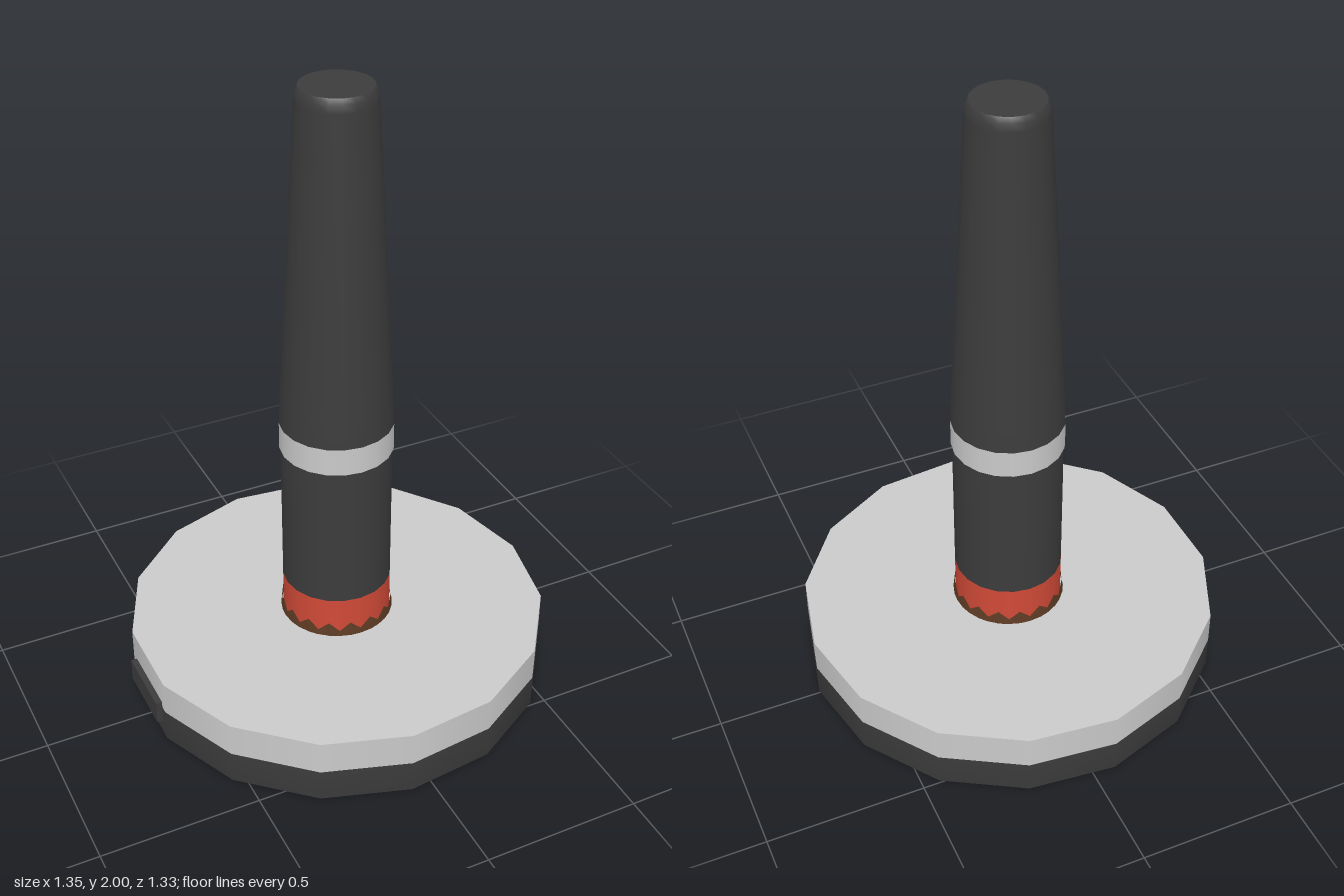
import * as THREE from 'three';

const material = (name, color, side = THREE.FrontSide) => {
  const m = new THREE.MeshStandardMaterial({ color, side });
  m.name = name;
  return m;
};

export function createModel() {
  const dark = material('dark rubber', 0x3c3c3c);
  const light = material('light grey', 0xcacaca);
  const red = material('red', 0xd04a37);
  const brown = material('brown', 0x5c3a24, THREE.DoubleSide);

  const group = new THREE.Group();
  const add = (name, geometry, mat, x = 0, y = 0, z = 0) => {
    const mesh = new THREE.Mesh(geometry, mat);
    mesh.name = name;
    mesh.position.set(x, y, z);
    group.add(mesh);
    return mesh;
  };
  // Smooth turned part from [radius, height] pairs, listed bottom to top
  const turned = (points, sides, start = 0) =>
    new THREE.LatheGeometry(points.map(([r, y]) => new THREE.Vector2(r, y)), sides, start);

  // Fifteen-sided base: soft dark underside and light top plate, one corner on +x
  const sides = 15, corner = Math.PI / 2, baseR = 0.67;
  add('baseUnderside', turned([[0, 0], [0.655, 0], [baseR, 0.008], [baseR, 0.115]], sides, corner), dark);
  add('basePlate', new THREE.CylinderGeometry(baseR, baseR, 0.11, sides, 1, false, corner), light, 0, 0.17);

  // Button on the flat side of the base
  add('baseButton', new THREE.BoxGeometry(0.03, 0.075, 0.225), dark, -0.66, 0.098);

  // Post: red collar, lower sleeve, light ring, tapered grip
  const n = 20;
  add('redCollar', turned([[0.173, 0.22], [0.173, 0.36]], n), red);
  add('lowerSleeve', turned([[0.173, 0.36], [0.173, 0.84]], n), dark);
  add('ring', turned([[0.177, 0.84], [0.177, 0.93]], n), light);
  add('grip', turned([[0.177, 0.93], [0.174, 1.0], [0.12, 1.96], [0.118, 1.985], [0.108, 2.0]], n), dark);
  const cap = add('gripEnd', new THREE.CircleGeometry(0.108, n), dark, 0, 2);
  cap.rotation.x = -Math.PI / 2;

  // Toothed skirt around the foot of the post
  const teeth = 16, steps = teeth * 2;
  const position = [], index = [];
  for (let i = 0; i <= steps; i++) {
    const a = (i / steps) * Math.PI * 2, s = Math.sin(a), c = Math.cos(a);
    const top = i % 2 ? 0.272 : 0.242;
    position.push(0.181 * s, 0.222, 0.181 * c, 0.176 * s, top, 0.176 * c);
    if (i < steps) {
      const k = i * 2;
      index.push(k, k + 2, k + 1, k + 1, k + 2, k + 3);
    }
  }
  const skirt = new THREE.BufferGeometry();
  skirt.setAttribute('position', new THREE.Float32BufferAttribute(position, 3));
  skirt.setIndex(index);
  skirt.computeVertexNormals();
  add('toothedSkirt', skirt, brown);

  return group;
}
